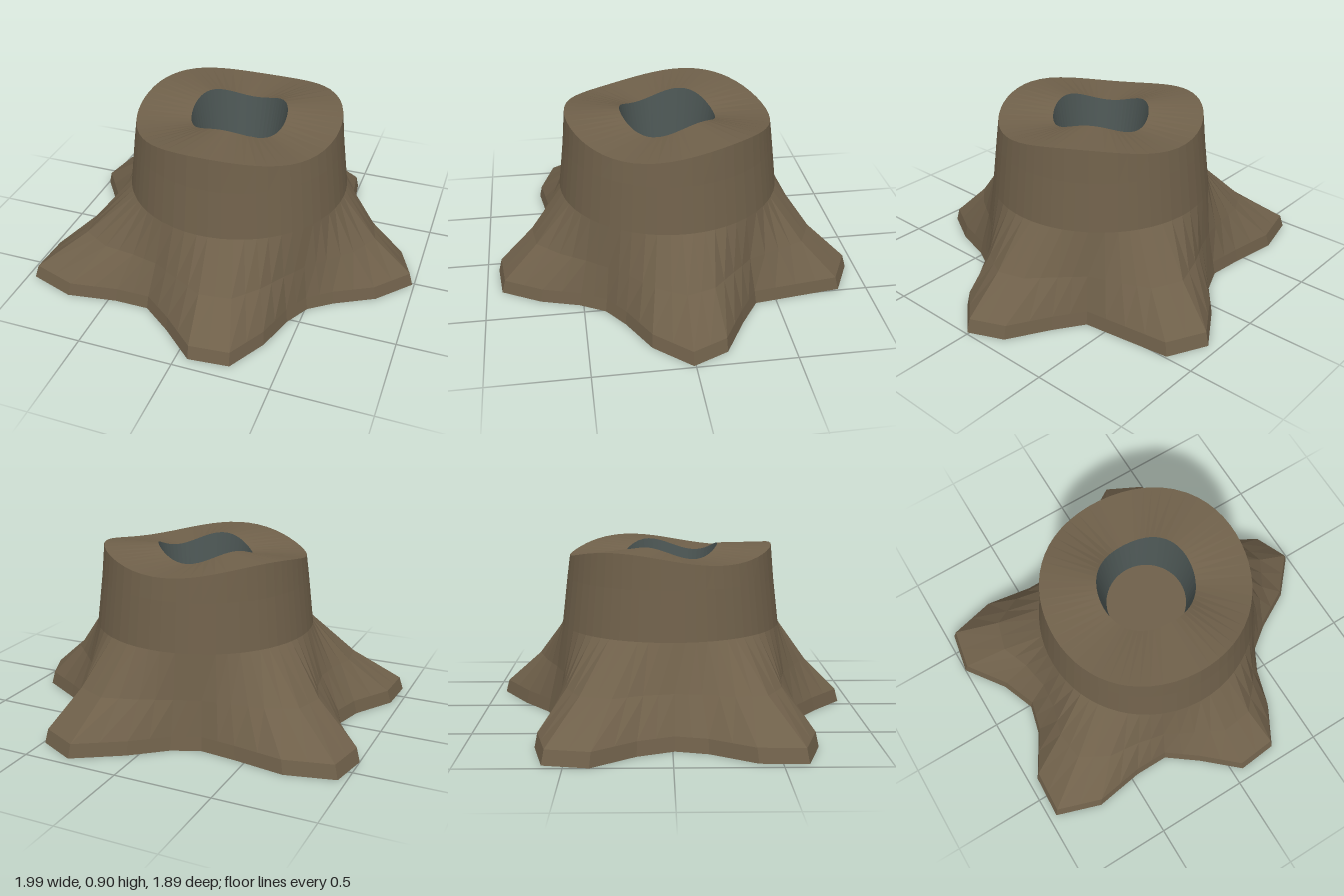
import * as THREE from 'three';

// Star-shaped root outline on the ground, as x, z pairs
const ROOTS = [
  [0.99, 0.01], [0.83, 0.19], [0.63, 0.30], [0.51, 0.39], [0.44, 0.52], [0.38, 0.72],
  [0.27, 0.92], [0.06, 0.94], [-0.12, 0.78], [-0.28, 0.66], [-0.46, 0.66], [-0.72, 0.70],
  [-0.96, 0.62], [-0.95, 0.39], [-0.82, 0.17], [-0.78, 0.01], [-0.85, -0.17], [-1.0, -0.38],
  [-0.96, -0.60], [-0.71, -0.66], [-0.45, -0.62], [-0.26, -0.60], [-0.12, -0.66], [0.05, -0.80],
  [0.29, -0.95], [0.49, -0.85], [0.52, -0.62], [0.55, -0.39], [0.70, -0.29], [0.91, -0.17],
];

// Each outline edge is halved so that the trunk above looks rounder
const outline = ROOTS.flatMap(([x, z], i) => {
  const [nx, nz] = ROOTS[(i + 1) % ROOTS.length];
  return [new THREE.Vector2(x, z), new THREE.Vector2((x + nx) / 2, (z + nz) / 2)];
});

// Three gentle lobes along the cut top
const waveHeight = (p) => 0.87 + 0.03 * Math.cos(3 * Math.atan2(p.x, p.y));

// Ring that blends from the root outline (t = 0) to a circle (t = 1)
function ring(y, radius, t = 1, scale = 1) {
  return outline.map((p) => {
    const r = THREE.MathUtils.lerp(p.length() * scale, radius, t);
    const d = p.clone().normalize().multiplyScalar(r);
    return new THREE.Vector3(d.x, y === 'wave' ? waveHeight(p) : y, d.y);
  });
}

// Faceted skin between successive rings
function loft(name, rings, material) {
  const points = [];
  for (let k = 0; k < rings.length - 1; k++) {
    const low = rings[k], high = rings[k + 1], n = low.length;
    for (let i = 0; i < n; i++) {
      const j = (i + 1) % n;
      for (const tri of [[low[i], high[i], low[j]], [low[j], high[i], high[j]]]) {
        if (new THREE.Triangle(...tri).getArea() > 1e-8) points.push(...tri);
      }
    }
  }
  const geometry = new THREE.BufferGeometry().setFromPoints(points);
  geometry.computeVertexNormals();
  const mesh = new THREE.Mesh(geometry, material);
  mesh.name = name;
  return mesh;
}

export function createModel() {
  const bark = new THREE.MeshStandardMaterial({ color: 0x6f604a });
  bark.name = 'brown bark';
  const lining = new THREE.MeshStandardMaterial({ color: 0x4c5654 });
  lining.name = 'grey hollow lining';

  const group = new THREE.Group();
  group.name = 'stump';

  const foot = ring(0, 0, 0);
  const flare = ring(0.07, 0, 0, 0.98);
  const collar = ring(0.48, 0.58);
  const rim = ring('wave', 0.535);
  const mouth = ring('wave', 0.25);
  const hollowEnd = ring(0.61, 0.21);

  group.add(
    loft('underside', [ring(0, 0), foot], bark),
    loft('roots', [foot, flare, ring(0.25, 0.58, 0.52, 0.98), collar], bark),
    loft('trunk', [collar, ring(0.73, 0.55), rim], bark),
    loft('cutTop', [rim, mouth], bark),
    loft('hollowWall', [mouth, hollowEnd], lining),
    loft('hollowFloor', [hollowEnd, ring(0.61, 0)], bark),
  );
  return group;
}
